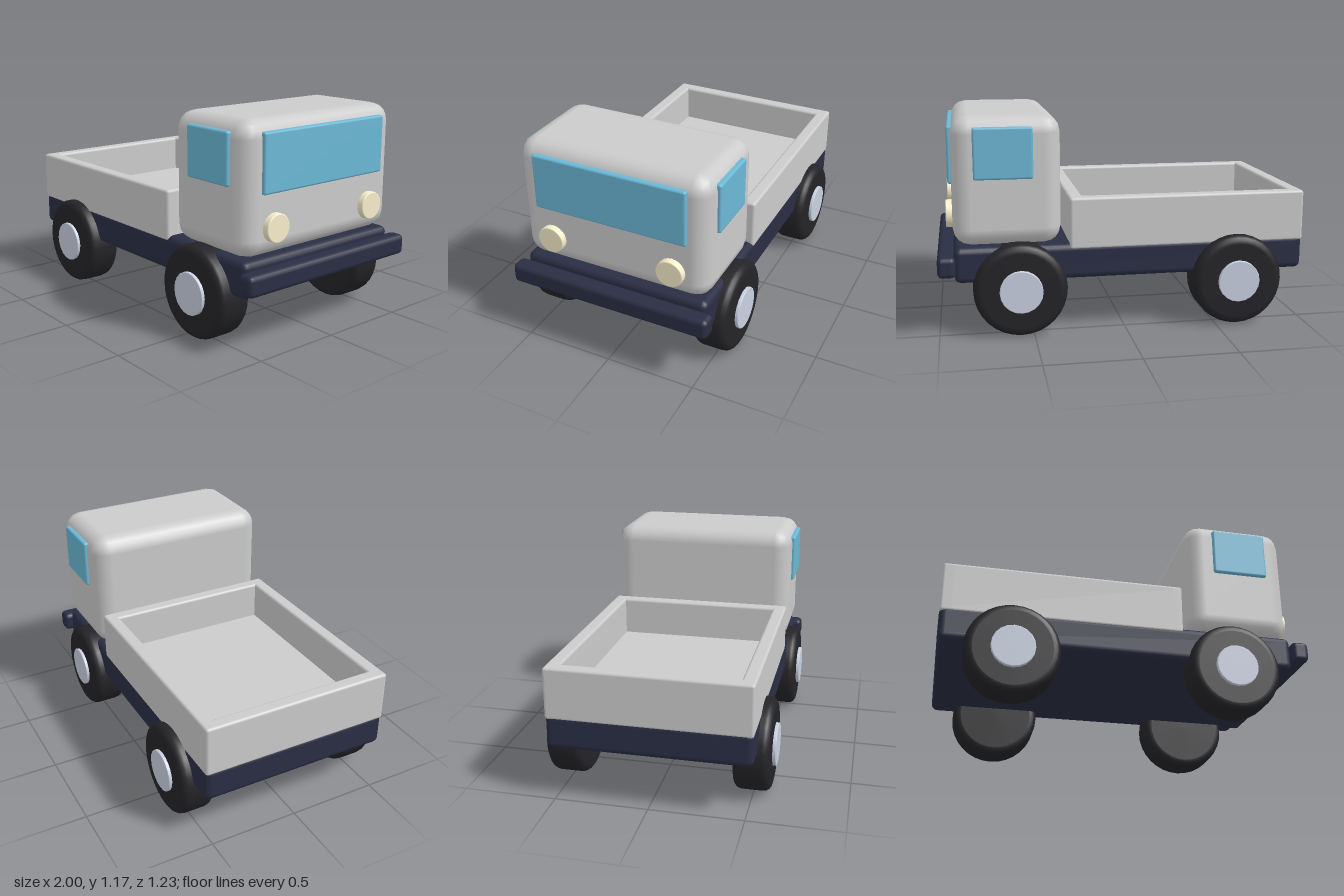
import * as THREE from 'three';
import { RoundedBoxGeometry } from 'three/addons/geometries/RoundedBoxGeometry.js';

const mat = (color) => new THREE.MeshStandardMaterial({ color });

export function createModel() {
  const truck = new THREE.Group();
  truck.name = 'truck';
  const body = mat(0xcccccc), frame = mat(0x2a2e44), rubber = mat(0x242428);
  const hubMetal = mat(0xc8d0e0), glass = mat(0x6cb8d6), lamp = mat(0xf8eecb);

  // Rounded box given by its extents on each axis
  function box(name, material, [x0, x1], [y0, y1], [z0, z1], radius, parent = truck) {
    const geo = new RoundedBoxGeometry(x1 - x0, y1 - y0, z1 - z0, 2, radius);
    const mesh = new THREE.Mesh(geo, material);
    mesh.position.set((x0 + x1) / 2, (y0 + y1) / 2, (z0 + z1) / 2);
    mesh.name = name;
    parent.add(mesh);
  }

  // Disc with rounded rims, turned about the y axis
  function roundedDisc(radius, width, bevel, sides) {
    const h = width / 2, pts = [new THREE.Vector2(0, -h), new THREE.Vector2((radius - bevel) * 0.98, -h)];
    for (const s of [-1, 1]) {
      for (let i = 0; i <= 4; i++) {
        const a = (s < 0 ? -1 + i / 4 : i / 4) * Math.PI / 2;
        pts.push(new THREE.Vector2(radius - bevel + bevel * Math.cos(a), s * (h - bevel) + bevel * Math.sin(a)));
      }
    }
    pts.push(new THREE.Vector2((radius - bevel) * 0.98, h), new THREE.Vector2(0, h));
    return new THREE.LatheGeometry(pts, sides);
  }

  // Chassis and front bumper
  box('chassis', frame, [-1, 0.913], [0.288, 0.48], [-0.535, 0.535], 0.035);
  box('bumper', frame, [0.905, 1], [0.33, 0.442], [-0.575, 0.575], 0.027);

  // Cab with windscreen
  box('cab', body, [0.34, 0.913], [0.48, 1.17], [-0.537, 0.537], 0.095);
  box('windscreen', glass, [0.89, 0.932], [0.806, 1.112], [-0.43, 0.43], 0.012);

  // Open cargo bed: floor and four boards
  const bed = new THREE.Group();
  bed.name = 'cargoBed';
  truck.add(bed);
  box('bedFloor', body, [-0.98, 0.28], [0.45, 0.515], [-0.52, 0.52], 0.01, bed);
  box('tailBoard', body, [-1, -0.925], [0.45, 0.73], [-0.535, 0.535], 0.015, bed);
  box('headBoard', body, [0.225, 0.3], [0.45, 0.73], [-0.535, 0.535], 0.015, bed);

  const tyreGeo = roundedDisc(0.25, 0.192, 0.04, 32);
  const hubGeo = roundedDisc(0.115, 0.06, 0.004, 20);
  const lampGeo = roundedDisc(0.075, 0.05, 0.006, 24);

  for (const s of [-1, 1]) {
    const side = s > 0 ? 'left' : 'right';
    const span = (a, b) => (s > 0 ? [a, b] : [-b, -a]);

    box(side + 'BedBoard', body, [-1, 0.3], [0.45, 0.73], span(0.46, 0.535), 0.015, bed);
    box(side + 'Window', glass, [0.49, 0.8], [0.842, 1.113], span(0.515, 0.555), 0.012);

    // Headlights
    const light = new THREE.Mesh(lampGeo, lamp);
    light.name = side + 'Headlight';
    light.rotation.z = -Math.PI / 2;
    light.position.set(0.923, 0.633, s * 0.345);
    truck.add(light);

    // Wheels with hubcaps
    for (const [end, x] of [['Rear', -0.618], ['Front', 0.568]]) {
      const wheel = new THREE.Group();
      wheel.name = side + end + 'Wheel';
      wheel.position.set(x, 0.25, s * 0.499);
      wheel.rotation.x = s * Math.PI / 2;
      const tyre = new THREE.Mesh(tyreGeo, rubber);
      tyre.name = 'tyre';
      const hub = new THREE.Mesh(hubGeo, hubMetal);
      hub.name = 'hubcap';
      hub.position.y = 0.084;
      wheel.add(tyre, hub);
      truck.add(wheel);
    }
  }
  return truck;
}
